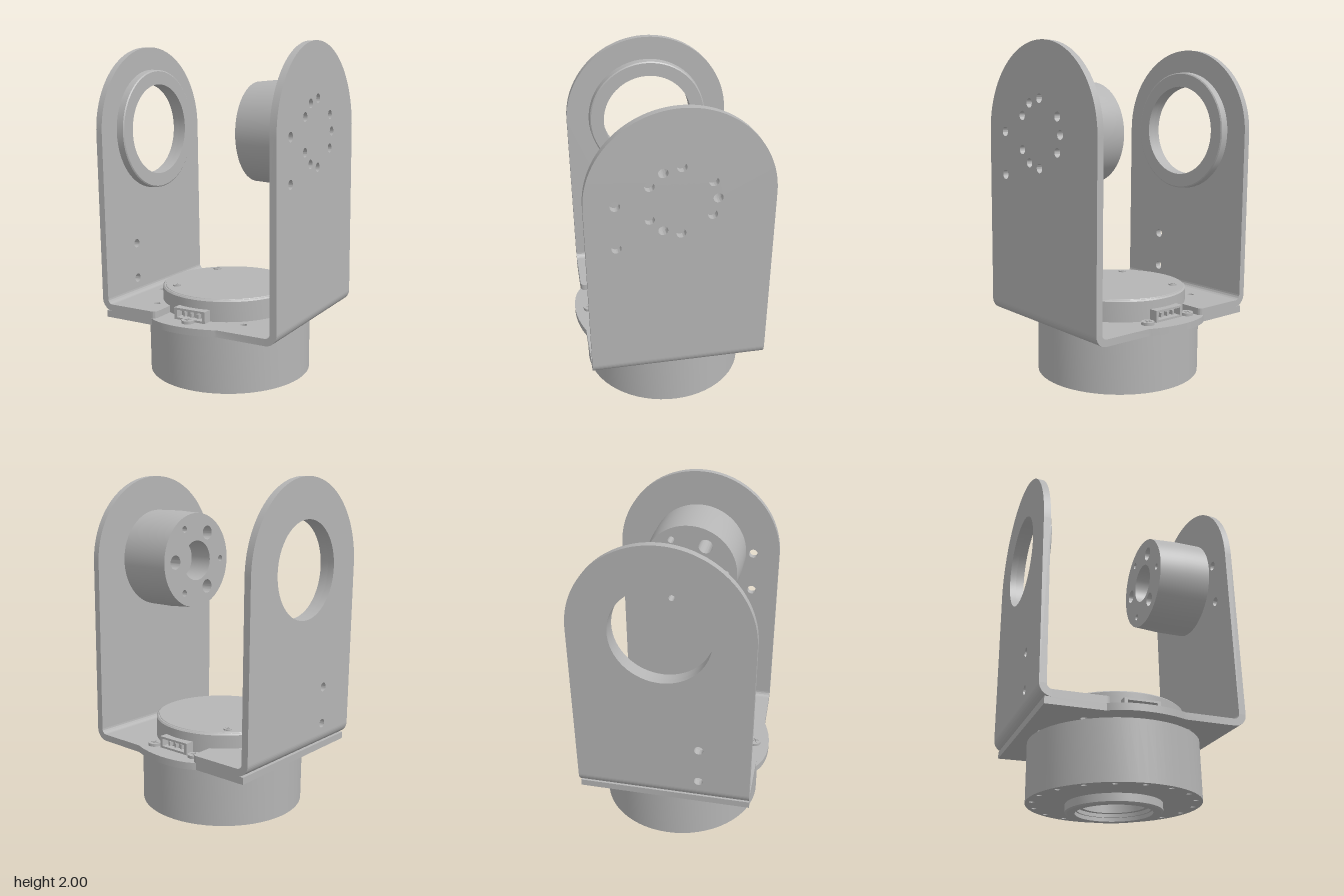
import * as THREE from 'three';
import { toCreasedNormals } from 'three/addons/utils/BufferGeometryUtils.js';

const PI = Math.PI;
const AXIS_X = 0.013; // vertical turning axis
const ARM_Y = 1.493;  // horizontal turning axis

export function createModel() {
  const model = new THREE.Group();
  model.name = 'gimbalBracket';
  const body = new THREE.Group();
  body.name = 'assembly';
  model.add(body);
  const metal = new THREE.MeshStandardMaterial({ color: 0xb5b5b5 });
  metal.name = 'grey metal';

  const add = (name, geo, x = 0, y = 0, z = 0) => {
    const mesh = new THREE.Mesh(toCreasedNormals(geo, 0.5), metal);
    mesh.name = name;
    mesh.position.set(x, y, z);
    body.add(mesh);
    return mesh;
  };
  const circle = (r, x = 0, y = 0, Type = THREE.Path) => new Type().absarc(x, y, r, 0, 2 * PI, false);
  const disc = (r) => circle(r, 0, 0, THREE.Shape);
  const extrude = (shape, depth, steps = 1, curveSegments = 32) =>
    new THREE.ExtrudeGeometry(shape, { depth, steps, bevelEnabled: false, curveSegments });
  // Shape (x, z) becomes a level slab whose top lies at y = 0
  const slab = (shape, depth, seg) => extrude(shape, depth, 1, seg).rotateX(PI / 2);
  // Shape (-z, y) becomes an upright plate growing toward +x
  const upright = (shape, depth, steps) => extrude(shape, depth, steps).rotateY(PI / 2);
  const lathe = (pts) => new THREE.LatheGeometry(pts.map((p) => new THREE.Vector2(...p)), 64);

  // Round-topped arm plate from height y0
  const armShape = (y0) => {
    const s = new THREE.Shape();
    s.moveTo(-0.5, y0);
    s.lineTo(0.5, y0);
    s.lineTo(0.5, ARM_Y);
    s.absarc(0, ARM_Y, 0.5, 0, PI, false);
    s.closePath();
    return s;
  };
  // Quarter bend joining floor and arm
  const bend = (from) => {
    const s = new THREE.Shape();
    s.absarc(0, 0, 0.07, from, from + PI / 2, false);
    s.absarc(0, 0, 0.03, from + PI / 2, from, true);
    s.closePath();
    return extrude(s, 1).translate(0, 0, -0.5);
  };
  const floorHoles = [[-0.384, -0.23], [-0.434, 0.08], [-0.279, 0.35], [0.311, 0.35]];

  // Outer bracket: bulged floor, bend and bolt-pattern arm
  const floor = new THREE.Shape();
  floor.moveTo(-0.537, -0.5);
  floor.lineTo(-0.21, -0.5);
  floor.bezierCurveTo(-0.12, -0.57, 0.08, -0.57, 0.23, -0.505);
  floor.lineTo(0.523, -0.5);
  floor.lineTo(0.523, 0.5);
  floor.lineTo(0.23, 0.505);
  floor.bezierCurveTo(0.08, 0.57, -0.12, 0.57, -0.21, 0.5);
  floor.lineTo(-0.537, 0.5);
  floor.closePath();
  floorHoles.forEach(([x, z]) => floor.holes.push(circle(0.019, x, z)));
  add('motorBracketFloor', slab(floor, 0.04), 0, 0.447);
  add('motorBracketBend', bend(-PI / 2), 0.523, 0.477);
  const motorArm = armShape(0.477);
  for (const deg of [30, 60, 90, 150, 180, 210, 270, 300, 330]) {
    const a = deg * PI / 180;
    // Three bolts at each third, others in between
    const [z, y] = [Math.cos(a) * 0.19, Math.sin(a) * 0.19];
    motorArm.holes.push(circle(0.026, -z, ARM_Y + y));
  }
  for (const y of [1.245, ARM_Y]) motorArm.holes.push(circle(0.027, -0.34, y));
  add('motorArm', upright(motorArm, 0.04), 0.553);

  // Inner bracket: short floor, bend and arm with a large bearing hole
  const foot = new THREE.Shape();
  foot.moveTo(-0.496, -0.5);
  foot.lineTo(-0.21, -0.5);
  foot.quadraticCurveTo(-0.183, -0.5, -0.183, -0.47);
  foot.lineTo(-0.183, 0.47);
  foot.quadraticCurveTo(-0.183, 0.5, -0.21, 0.5);
  foot.lineTo(-0.496, 0.5);
  foot.closePath();
  floorHoles.slice(0, 3).forEach(([x, z]) => foot.holes.push(circle(0.019, x, z)));
  add('bearingBracketFloor', slab(foot, 0.04), 0, 0.487);
  add('bearingBracketBend', bend(PI), -0.496, 0.517);
  const bearingArm = armShape(0.517);
  bearingArm.holes.push(circle(0.275, 0, ARM_Y));
  for (const y of [0.58, 0.8]) bearingArm.holes.push(circle(0.026, -0.21, y));
  add('bearingArm', upright(bearingArm, 0.04), -0.566);
  add('bearingRing', lathe([[0.275, 0], [0.365, 0], [0.362, 0.045], [0.355, 0.05], [0.275, 0.05], [0.275, 0]])
    .rotateZ(-PI / 2), -0.528, ARM_Y);

  // Arm motor with through holes and a tapered nose
  const motor = disc(0.295);
  motor.holes.push(circle(0.12));
  for (let i = 0; i < 3; i++) {
    const a = i * 2 * PI / 3;
    motor.holes.push(circle(0.042, Math.cos(a) * 0.19, Math.sin(a) * 0.19));
    motor.holes.push(circle(0.02, -Math.cos(a) * 0.22, -Math.sin(a) * 0.22));
  }
  const motorGeo = upright(motor, 0.323, 2);
  const p = motorGeo.attributes.position;
  for (let i = 0; i < p.count; i++) {
    if (p.getX(i) < 0.01 && Math.hypot(p.getY(i), p.getZ(i)) > 0.28) {
      p.setY(i, p.getY(i) * 0.965);
      p.setZ(i, p.getZ(i) * 0.965);
    }
  }
  motorGeo.computeVertexNormals();
  add('armMotor', motorGeo, 0.23, ARM_Y);
  add('armMotorCore', lathe([[0, 0], [0.122, 0], [0.122, 0.07], [0.05, 0.07], [0.05, 0.12], [0, 0.12]])
    .rotateZ(PI / 2), 0.45, ARM_Y);

  // Base housing with a ring of bolt holes and a hollow centre
  const housing = disc(0.488);
  housing.holes.push(circle(0.205));
  for (let i = 0; i < 18; i++) {
    const a = (10 + i * 20) * PI / 180;
    housing.holes.push(circle(0.015, Math.cos(a) * 0.452, Math.sin(a) * 0.452));
  }
  add('baseHousing', slab(housing, 0.335), AXIS_X, 0.392);
  add('baseNeck', new THREE.CylinderGeometry(0.425, 0.425, 0.03, 64), AXIS_X, 0.4);
  add('baseFootRing', lathe([[0.215, 0.008], [0.26, 0.008], [0.27, 0.014], [0.27, 0.06], [0.205, 0.06],
    [0.205, 0.03], [0.215, 0.03], [0.215, 0.008]]), AXIS_X);
  add('baseInnerRing', lathe([[0.18, 0.05], [0.206, 0.05], [0.206, 0.09], [0.18, 0.09], [0.18, 0.05]]), AXIS_X);
  add('baseStrut', new THREE.BoxGeometry(0.04, 0.28, 0.03), AXIS_X, 0.25, 0.18);

  // Turntable on the floor
  add('turntable', lathe([[0, 0.44], [0.405, 0.44], [0.405, 0.564], [0.396, 0.572], [0.388, 0.572],
    [0.386, 0.575], [0, 0.575]]), AXIS_X);

  // Cross-head screws
  const screw = (name, x, y, z, r) => {
    const s = disc(r);
    const [a, b] = [r * 0.6, r * 0.14];
    const cross = [[a, b], [b, b], [b, a], [-b, a], [-b, b], [-a, b], [-a, -b], [-b, -b], [-b, -a], [b, -a], [b, -b], [a, -b]];
    s.holes.push(new THREE.Path(cross.map((c) => new THREE.Vector2(...c))));
    add(name, slab(s, 0.02, 12), x, y, z).rotation.y = 0.35;
  };
  for (const [x, z] of [[-0.139, -0.435], [0.171, -0.435], [0.016, 0.465]]) screw('floorScrew', x, 0.464, z, 0.037);
  for (const z of [-0.235, 0.23]) screw('turntableScrew', -0.217, 0.583, z, 0.025);

  // Open cable sockets at front and back of the turntable
  for (const side of [-1, 1]) {
    const s = new THREE.Shape();
    s.moveTo(-0.103, 0);
    s.lineTo(0.103, 0);
    s.lineTo(0.103, 0.068);
    s.lineTo(-0.103, 0.068);
    s.closePath();
    const mouth = [[-0.085, 0.012], [-0.085, 0.056], [0.085, 0.056], [0.085, 0.012]];
    s.holes.push(new THREE.Path(mouth.map((c) => new THREE.Vector2(...c))));
    add('socketShell', extrude(s, 0.08), AXIS_X, 0.447, side > 0 ? 0.365 : -0.445);
    for (const x of [-0.045, 0, 0.045]) {
      add('socketPin', new THREE.BoxGeometry(0.012, 0.025, 0.05), AXIS_X + x, 0.478, side * 0.405);
    }
  }

  // The whole assembly leans slightly
  body.rotation.z = 0.0135;
  return model;
}
